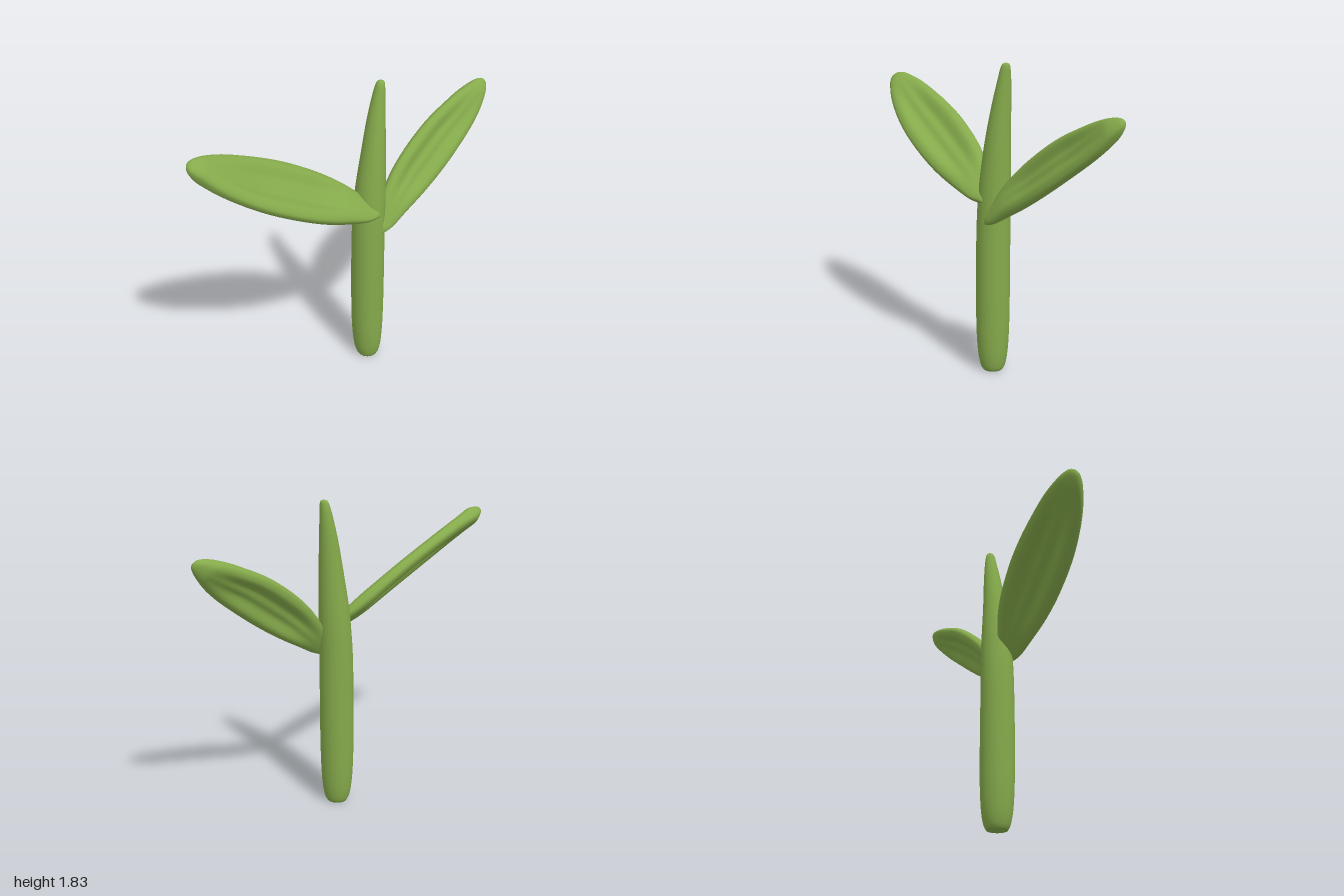
import * as THREE from 'three';

const V = (x, y, z) => new THREE.Vector3(x, y, z);
const { smoothstep, clamp, lerp } = THREE.MathUtils;
const green = new THREE.MeshStandardMaterial({ color: 0x85aa4b });

// Smooth skin over a list of equally long closed rings of points
function loft(name, rings) {
  const n = rings[0].length, pos = [], idx = [];
  rings.forEach(r => r.forEach(p => pos.push(p.x, p.y, p.z)));
  for (let i = 0; i < rings.length - 1; i++) {
    for (let j = 0; j < n; j++) {
      const a = i * n + j, b = i * n + (j + 1) % n;
      idx.push(a, b, a + n, b, b + n, a + n);
    }
  }
  const geo = new THREE.BufferGeometry();
  geo.setAttribute('position', new THREE.Float32BufferAttribute(pos, 3));
  geo.setIndex(idx);
  geo.computeVertexNormals();
  const mesh = new THREE.Mesh(geo, green);
  mesh.name = name;
  return mesh;
}

// Trunk that tapers into a leaning spike: [y, centre x, centre z, radius x, radius z]
function makeStem() {
  const rows = [
    [0.00, 0.080, -0.013, 0.058, 0.060], [0.02, 0.080, -0.013, 0.069, 0.072],
    [0.08, 0.079, -0.013, 0.083, 0.086], [0.20, 0.078, -0.013, 0.093, 0.096],
    [0.40, 0.078, -0.013, 0.098, 0.100], [0.70, 0.079, -0.013, 0.098, 0.100],
    [0.95, 0.083, -0.014, 0.095, 0.098], [1.10, 0.091, -0.015, 0.091, 0.094],
    [1.20, 0.097, -0.016, 0.087, 0.088], [1.40, 0.115, -0.018, 0.071, 0.073],
    [1.60, 0.137, -0.026, 0.052, 0.055], [1.74, 0.156, -0.031, 0.035, 0.038],
    [1.80, 0.165, -0.031, 0.026, 0.028], [1.822, 0.169, -0.031, 0.018, 0.019],
    [1.83, 0.170, -0.031, 0.001, 0.001],
  ];
  const centre = new THREE.CatmullRomCurve3(rows.map(r => V(r[1], r[0], r[2])), false, 'centripetal');
  const radii = new THREE.CatmullRomCurve3(rows.map(r => V(r[3], r[0], r[4])), false, 'centripetal');
  const ring = (c, r) => Array.from({ length: 32 }, (_, j) => {
    const a = j / 32 * Math.PI * 2;
    return V(c.x + r.x * Math.sin(a), c.y, c.z + r.z * Math.cos(a));
  });
  const rings = [ring(centre.getPoint(0), V(0, 0, 0))]; // closes the foot
  const n = (rows.length - 1) * 4;
  for (let i = 0; i <= n; i++) rings.push(ring(centre.getPoint(i / n), radii.getPoint(i / n)));
  return loft('stem', rings);
}

// Relative half width along a leaf: [position, width]
const leafOutline = new THREE.SplineCurve([
  [0, 0], [0.015, 0.16], [0.1, 0.52], [0.28, 0.87], [0.46, 1],
  [0.64, 0.96], [0.82, 0.74], [0.93, 0.46], [0.985, 0.22], [1, 0],
].map(p => new THREE.Vector2(...p)));

// Leaf with thick rounded rims around a hollow with a faint midrib on each face
function makeLeaf(name, points, halfWidth, thickness, tilt) {
  const path = new THREE.CatmullRomCurve3(points.map(p => V(...p)));
  const along = V(...points[points.length - 1]).sub(V(...points[0])).normalize();
  const up = V(-along.y, along.x, 0).multiplyScalar(Math.sign(along.x)).normalize();
  const across = up.multiplyScalar(Math.cos(tilt)).add(V(0, 0, -Math.sin(tilt)));
  across.addScaledVector(along, -across.dot(along)).normalize();
  const face = along.clone().cross(across);
  const rings = [], steps = 54, sides = 64;
  for (let i = 0; i <= steps; i++) {
    const s = leafOutline.getPoint(i / steps);
    const t = clamp(s.x, 0, 1);
    const w = Math.max(s.y, 0.002) * halfWidth;
    const h = Math.min(thickness * lerp(0.5, 1, smoothstep(t, 0, 0.25)), w * 0.7);
    const depth = 0.8 * smoothstep(t, 0.08, 0.4) * (1 - smoothstep(t, 0.62, 0.95));
    const centre = path.getPointAt(t);
    rings.push(Array.from({ length: sides }, (_, j) => {
      const a = j / sides * Math.PI * 2, u = Math.cos(a), v = Math.sin(a);
      const hollow = 1 - smoothstep(Math.abs(u), 0.2, 0.78) - 0.2 * Math.exp(-((u / 0.16) ** 2));
      const lift = Math.sign(v) * Math.abs(v) ** 0.65 * h * (1 - depth * hollow);
      return centre.clone().addScaledVector(across, u * w).addScaledVector(face, lift);
    }));
  }
  return loft(name, rings);
}

export function createModel() {
  const group = new THREE.Group();
  group.name = 'plant';
  group.add(
    makeStem(),
    makeLeaf('rightLeaf', [[0.11, 1.05, 0.068], [-0.05, 1.14, 0.036], [-0.4, 1.335, 0.024], [-0.7, 1.495, 0.018], [-1, 1.66, 0.0]], 0.167, 0.05, 0.9),
    makeLeaf('leftLeaf', [[0.11, 0.925, 0.068], [0.25, 1.075, 0.018], [0.6, 1.345, -0.05], [0.8, 1.475, -0.088], [1, 1.608, -0.135]], 0.134, 0.046, 0.42),
  );
  return group;
}
